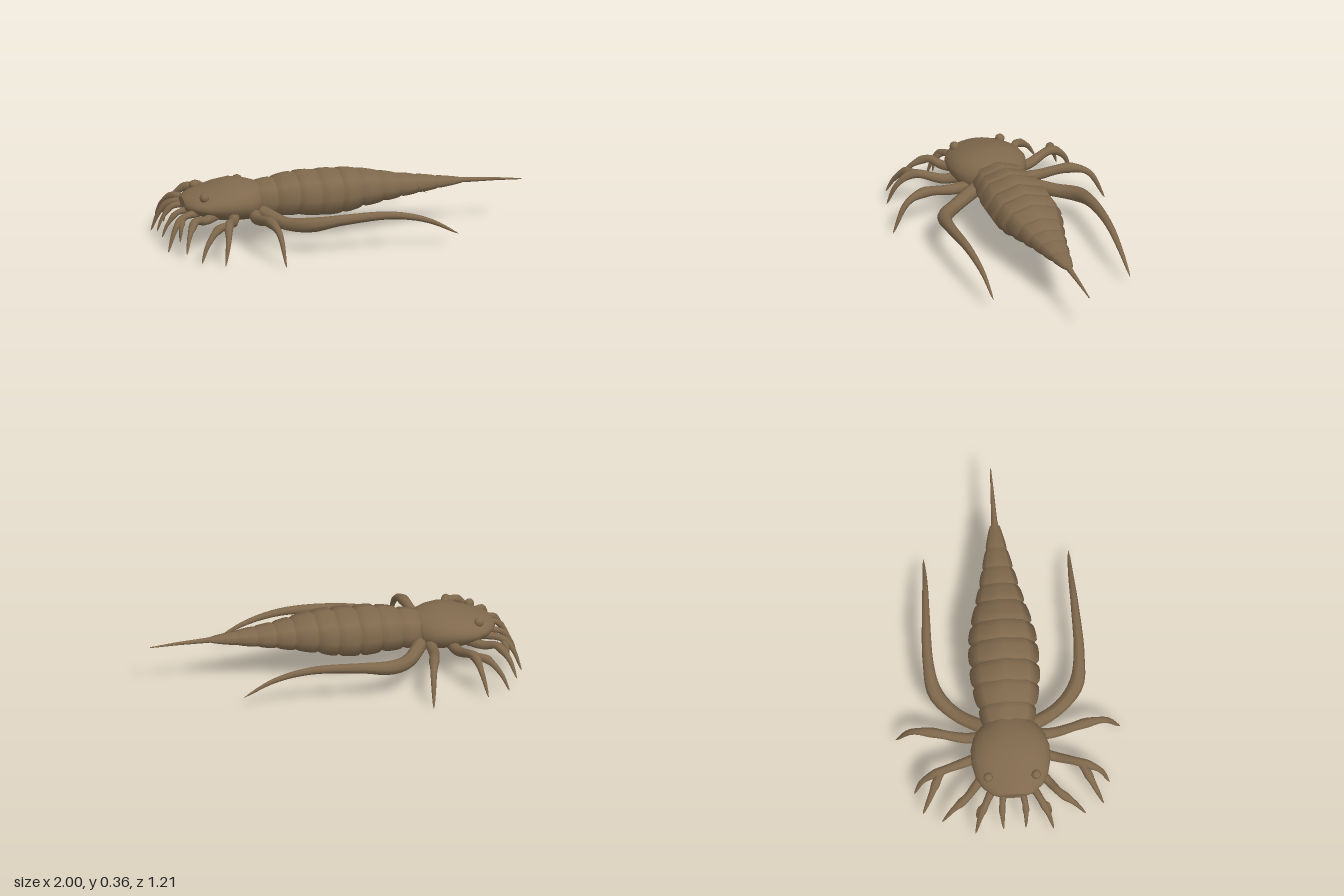
import * as THREE from 'three';

const shell = new THREE.MeshStandardMaterial({ color: 0x80694d });
shell.name = 'brown shell';

// Closed skin through sections [x, top, bottom, halfWidth] running towards +x
function loft(sections, sides) {
  const [first, last] = [sections[0], sections[sections.length - 1]];
  const point = ([x, t, b]) => [x, (t + b) / 2, (t + b) / 2, 0];
  const rings = [point(first), first, ...sections, last, point(last)];
  const pos = [], idx = [];
  for (const [x, top, bottom, w] of rings) {
    for (let j = 0; j < sides; j++) {
      const a = (j / sides) * Math.PI * 2;
      pos.push(x, (top + bottom) / 2 + ((top - bottom) / 2) * Math.cos(a), w * Math.sin(a));
    }
  }
  for (let i = 0; i < rings.length - 1; i++) {
    for (let j = 0; j < sides; j++) {
      const k = (j + 1) % sides, p = i * sides, q = p + sides;
      idx.push(p + j, p + k, q + j, p + k, q + k, q + j);
    }
  }
  const g = new THREE.BufferGeometry();
  g.setAttribute('position', new THREE.Float32BufferAttribute(pos, 3));
  g.setIndex(idx);
  g.computeVertexNormals();
  return g;
}

// Tube along points [x, y, z], tapering to a tip, with a swollen joint part-way
function limb(points, radius, joint, side) {
  const curve = new THREE.CatmullRomCurve3(points.map(([x, y, z]) => new THREE.Vector3(x, y, z * side)));
  const steps = 28, sides = 8;
  const g = new THREE.TubeGeometry(curve, steps, 1, sides, false);
  const p = g.attributes.position, v = new THREE.Vector3();
  for (let i = 0; i <= steps; i++) {
    const u = i / steps, centre = curve.getPointAt(u);
    const swell = 0.2 * Math.exp(-(((u - joint) / 0.08) ** 2));
    const r = radius * ((1 - u) ** 0.6 + swell) + 0.001;
    for (let j = 0; j <= sides; j++) {
      const n = i * (sides + 1) + j;
      v.fromBufferAttribute(p, n).sub(centre).multiplyScalar(r).add(centre);
      p.setXYZ(n, v.x, v.y, v.z);
    }
  }
  return g;
}

// Body outline: x, top, bottom, half width
const OUTLINE = [
  [-0.48, 0.315, 0.125, 0.135], [-0.25, 0.358, 0.115, 0.183], [-0.13, 0.36, 0.102, 0.188],
  [0, 0.36, 0.112, 0.186], [0.1, 0.352, 0.138, 0.168], [0.32, 0.308, 0.178, 0.108],
  [0.66, 0.262, 0.228, 0.03],
];
const PLATE_EDGES = [-0.48, -0.37, -0.25, -0.13, -0.01, 0.1, 0.22, 0.32, 0.42, 0.53, 0.66];

// Body section at x, interpolated along the outline
function bodySection(x) {
  let i = 0;
  while (i < OUTLINE.length - 2 && x > OUTLINE[i + 1][0]) i++;
  const [a, b] = [OUTLINE[i], OUTLINE[i + 1]];
  const t = (x - a[0]) / (b[0] - a[0]);
  return a.map((value, c) => value + (b[c] - value) * t);
}

// One plate: swells in its middle and tucks in at both ends
function plate(from, to) {
  const sections = [];
  for (let i = 0; i <= 6; i++) {
    const t = i / 6;
    const swell = 1.02 - 0.13 * Math.abs(2 * t - 1) ** 4;
    const [x, top, bottom, w] = bodySection(from + (to - from) * (t * 1.12 - 0.06));
    const mid = (top + bottom) / 2, h = ((top - bottom) / 2) * swell;
    sections.push([x, mid + h, mid - h, w * swell]);
  }
  return loft(sections, 8);
}

export function createModel() {
  const model = new THREE.Group();
  const add = (name, geometry) => {
    const mesh = new THREE.Mesh(geometry, shell);
    mesh.name = name;
    model.add(mesh);
    return mesh;
  };

  // Smooth head shield
  add('headShield', loft([
    [-0.875, 0.25, 0.19, 0.075], [-0.86, 0.262, 0.18, 0.115], [-0.82, 0.277, 0.165, 0.162],
    [-0.76, 0.295, 0.145, 0.195], [-0.68, 0.322, 0.128, 0.213], [-0.6, 0.337, 0.12, 0.213],
    [-0.53, 0.33, 0.12, 0.193], [-0.48, 0.318, 0.125, 0.158], [-0.455, 0.308, 0.135, 0.12],
  ], 24));

  // Overlapping body plates
  for (let i = 1; i < PLATE_EDGES.length; i++) {
    add('bodyPlate' + i, plate(PLATE_EDGES[i - 1], PLATE_EDGES[i]));
  }

  // Tail spike
  add('tailSpike', loft([
    [0.63, 0.263, 0.232, 0.026], [0.7, 0.258, 0.23, 0.016],
    [0.85, 0.248, 0.23, 0.01], [1, 0.232, 0.226, 0.003],
  ], 8));

  // Paired eyes and limbs
  for (const side of [1, -1]) {
    const prefix = side > 0 ? 'left' : 'right';
    const addLimb = (name, radius, joint, points) => add(prefix + name, limb(points, radius, joint, side));

    add(prefix + 'Eye', new THREE.SphereGeometry(0.026, 14, 10)).position.set(-0.78, 0.277, 0.13 * side);

    addLimb('TrailingLimb', 0.04, 0.3, [
      [-0.47, 0.18, 0.11], [-0.36, 0.15, 0.28], [-0.24, 0.165, 0.38], [-0.08, 0.188, 0.407],
      [0.2, 0.195, 0.402], [0.4, 0.15, 0.393], [0.565, 0.065, 0.391],
    ]);
    addLimb('RearLeg', 0.033, 0.5, [
      [-0.51, 0.18, 0.13], [-0.51, 0.17, 0.23], [-0.475, 0.2, 0.42],
      [-0.452, 0.165, 0.52], [-0.435, 0.005, 0.606],
    ]);
    addLimb('ForkedLeg', 0.031, 0.55, [
      [-0.62, 0.18, 0.15], [-0.645, 0.167, 0.24], [-0.705, 0.195, 0.395],
      [-0.725, 0.135, 0.477], [-0.752, 0.01, 0.527],
    ]);
    addLimb('ForkedLegClaw', 0.023, 0.3, [
      [-0.69, 0.193, 0.375], [-0.765, 0.183, 0.412], [-0.835, 0.11, 0.455], [-0.875, 0.02, 0.488],
    ]);
    addLimb('MiddleLeg', 0.028, 0.55, [
      [-0.72, 0.18, 0.14], [-0.79, 0.172, 0.2], [-0.855, 0.185, 0.25],
      [-0.905, 0.135, 0.33], [-0.935, 0.045, 0.388],
    ]);
    addLimb('FrontLeg', 0.023, 0.45, [
      [-0.8, 0.19, 0.1], [-0.9, 0.182, 0.152], [-0.95, 0.135, 0.182], [-0.998, 0.01, 0.211],
    ]);
    addLimb('FrontLegClaw', 0.016, 0.3, [
      [-0.9, 0.182, 0.15], [-0.92, 0.145, 0.187], [-0.93, 0.06, 0.2],
    ]);
    addLimb('Feeler', 0.019, 0.45, [
      [-0.84, 0.2, 0.05], [-0.92, 0.182, 0.063], [-0.97, 0.12, 0.063], [-0.998, 0.05, 0.06],
    ]);
  }
  return model;
}
